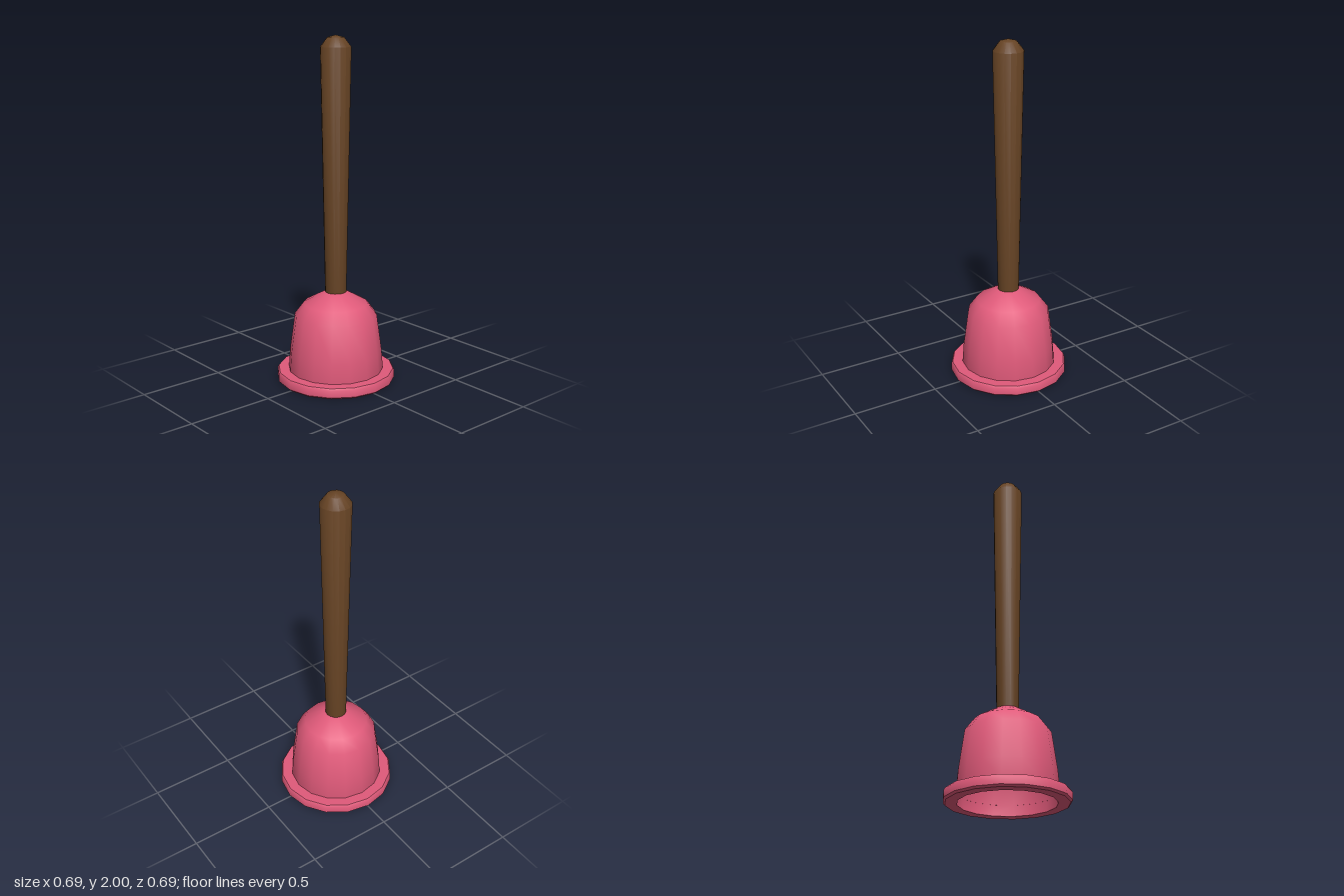
import * as THREE from 'three';
import { toCreasedNormals } from 'three/addons/utils/BufferGeometryUtils.js';

const SIDES = 16;

// Turned part from [radius, height] points listed bottom to top
function turned(name, profile, color, side = THREE.FrontSide) {
  const points = profile.map(([r, y]) => new THREE.Vector2(r, y));
  const geometry = toCreasedNormals(new THREE.LatheGeometry(points, SIDES), 0.7);
  const mesh = new THREE.Mesh(geometry, new THREE.MeshStandardMaterial({ color, side }));
  mesh.name = name;
  return mesh;
}

export function createModel() {
  const group = new THREE.Group();
  group.name = 'plunger';
  const rubber = 0xe05a7a;
  const wood = 0x664324;

  // Open rubber bell, seen from inside and outside
  group.add(turned('cup', [
    [0.27, 0.005], [0.278, 0.07], [0.27, 0.18], [0.24, 0.395],
    [0.187, 0.465], [0.065, 0.533], [0, 0.533],
  ], rubber, THREE.DoubleSide));

  // Flat flange with bevelled outer edges
  group.add(turned('rim', [
    [0.27, 0.005], [0.335, 0.005], [0.346, 0.016], [0.346, 0.056],
    [0.338, 0.068], [0.277, 0.068],
  ], rubber, THREE.DoubleSide));

  // Handle widening upward to a rounded end
  group.add(turned('handle', [
    [0.062, 0.53], [0.087, 1.935], [0.047, 1.988], [0, 2],
  ], wood));

  return group;
}
